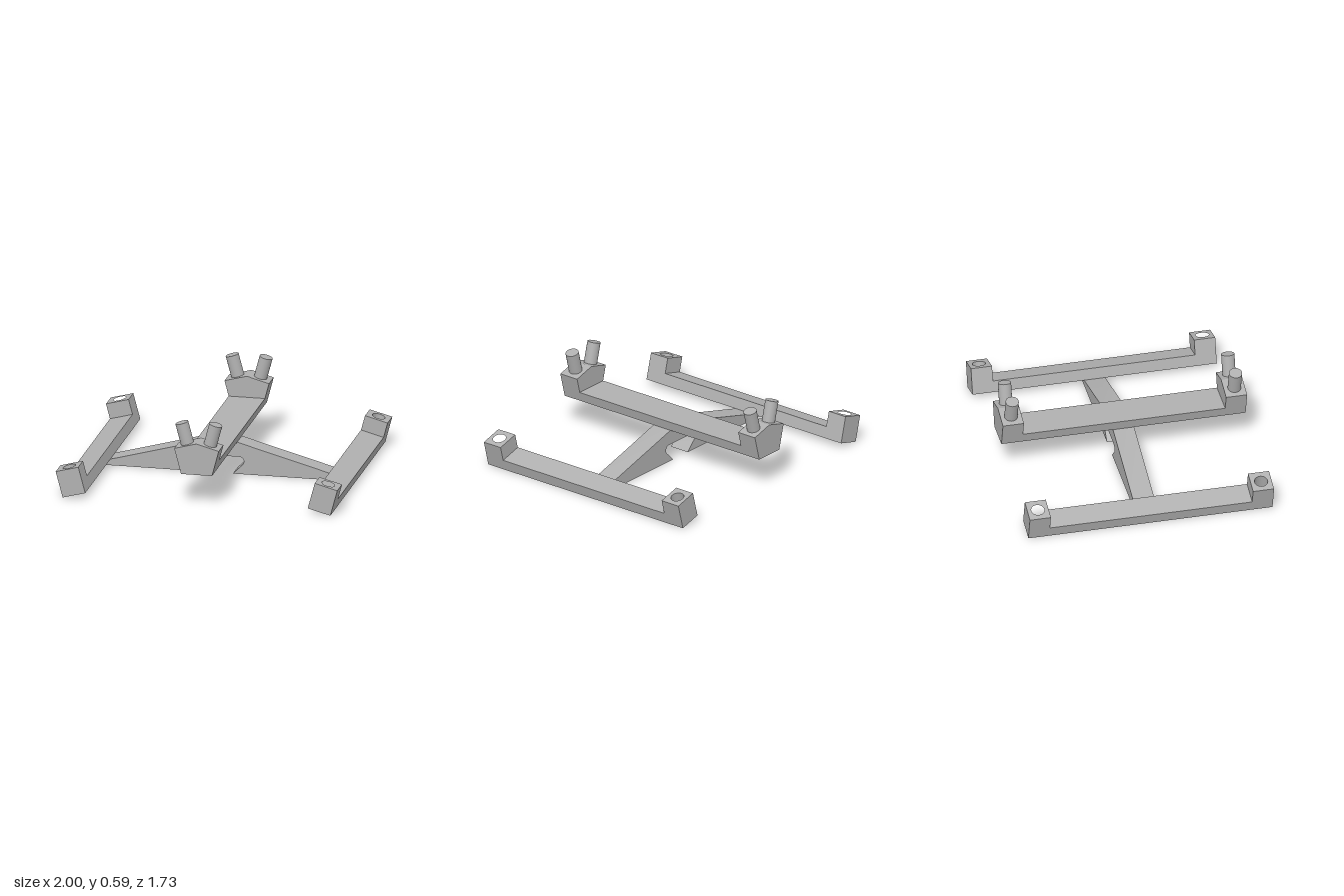
import * as THREE from 'three';
import { toCreasedNormals } from 'three/addons/utils/BufferGeometryUtils.js';

const TILT = Math.PI / 12;
const END = 0.867, INNER = 0.718, PIN_Z = 0.793; // positions along z

export function createModel() {
  const model = new THREE.Group();
  const grey = new THREE.MeshStandardMaterial({ color: 0xb0b0b0 });
  grey.name = 'plain grey';

  const add = (parent, name, geometry) => {
    const mesh = new THREE.Mesh(geometry, grey);
    mesh.name = name;
    parent.add(mesh);
    return mesh;
  };
  const extrude = (shape, depth) => toCreasedNormals(
    new THREE.ExtrudeGeometry(shape, { depth, bevelEnabled: false, curveSegments: 24 }), 0.5);
  const polygon = (points) => new THREE.Shape(points.map(([x, y]) => new THREE.Vector2(x, y)));

  // Cross arm: shallow gable with a clip-shaped notch underneath
  const arm = new THREE.Shape();
  arm.moveTo(-0.95, 0);
  arm.lineTo(-0.08, 0);
  arm.lineTo(-0.149, 0.069);
  arm.bezierCurveTo(-0.169, 0.092, -0.155, 0.125, -0.125, 0.125);
  arm.lineTo(0.125, 0.125);
  arm.bezierCurveTo(0.155, 0.125, 0.169, 0.092, 0.149, 0.069);
  arm.lineTo(0.08, 0);
  arm.lineTo(0.95, 0);
  arm.lineTo(0.11, 0.23);
  arm.lineTo(-0.11, 0.23);
  add(model, 'crossArm', extrude(arm, 0.15).translate(0, 0, -0.075));

  // Central spine
  const spine = polygon([[-0.11, 0.23], [0.11, 0.23], [0.129, 0.302], [-0.129, 0.302]]);
  add(model, 'spine', extrude(spine, 2 * INNER).translate(0, 0, -INNER));

  // Spine end blocks, each with two splayed pegs
  const head = polygon([[-0.11, 0.23], [0.11, 0.23], [0.158, 0.412], [0, 0.455], [-0.158, 0.412]]);
  for (const end of [-1, 1]) {
    add(model, 'spineEndBlock', extrude(head, END - INNER).translate(0, 0, end > 0 ? INNER : -END));
    for (const side of [-1, 1]) {
      const peg = add(model, 'peg', new THREE.CylinderGeometry(0.046, 0.046, 0.2, 32).translate(0, -0.1, 0));
      peg.position.set(side * 0.121, 0.581, end * PIN_Z);
      peg.rotation.z = -side * TILT;
    }
  }

  // Tilted side rails with bored end blocks
  const WIDTH = 0.166, HEIGHT = 0.191, LOW = 0.081;
  for (const side of [-1, 1]) {
    const pivot = new THREE.Group();
    pivot.name = side > 0 ? 'leftRail' : 'rightRail';
    pivot.rotation.y = side > 0 ? 0 : Math.PI;
    const rail = new THREE.Group();
    rail.name = 'tiltedRail';
    rail.position.set(0.95, 0, 0);
    rail.rotation.z = -TILT;
    pivot.add(rail);
    model.add(pivot);

    add(rail, 'railBar', new THREE.BoxGeometry(WIDTH, LOW, 2 * INNER).translate(-WIDTH / 2, LOW / 2, 0));
    for (const end of [-1, 1]) {
      const block = polygon([[-WIDTH, end * INNER], [0, end * INNER], [0, end * END], [-WIDTH, end * END]]);
      const hole = new THREE.Path();
      hole.absarc(-WIDTH / 2, end * PIN_Z, 0.046, 0, Math.PI * 2, true);
      block.holes.push(hole);
      add(rail, 'railEndBlock', extrude(block, HEIGHT).rotateX(-Math.PI / 2));
    }
  }
  return model;
}
